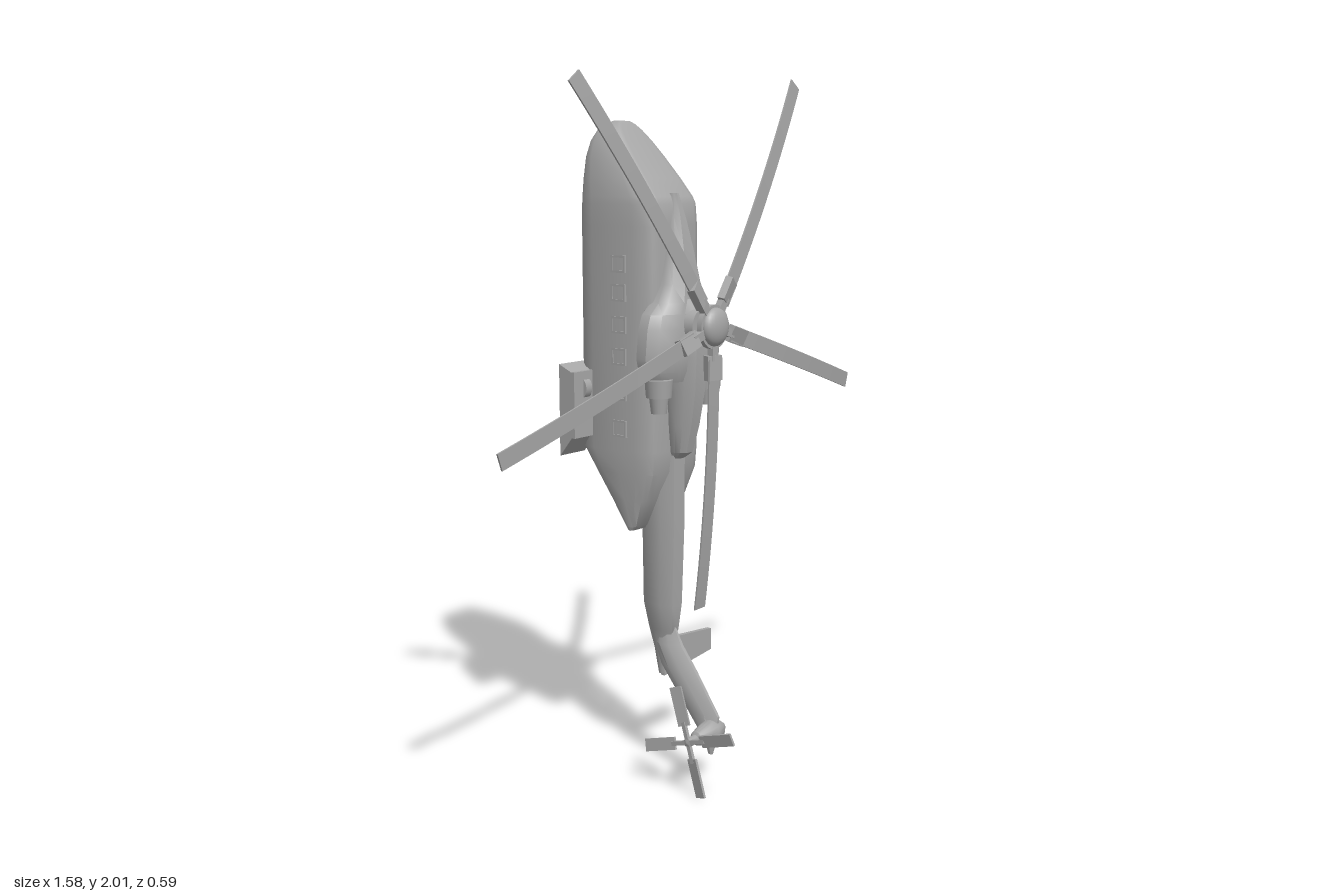
import * as THREE from 'three';
import { toCreasedNormals } from 'three/addons/utils/BufferGeometryUtils.js';

const CX = -0.007; // centre line of the airframe

// Skin closed rings of points, stacked from high y to low y.
function loft(rings, crease = 0.6) {
  const n = rings[0].length, pos = rings.flat(2), idx = [];
  const last = (rings.length - 1) * n;
  for (let i = 0; i < rings.length - 1; i++) {
    for (let j = 0; j < n; j++) {
      const a = i * n + j, b = i * n + (j + 1) % n;
      idx.push(a, b, a + n, b, b + n, a + n);
    }
  }
  for (let j = 1; j < n - 1; j++) {
    idx.push(0, j + 1, j, last, last + j, last + j + 1);
  }
  const g = new THREE.BufferGeometry();
  g.setAttribute('position', new THREE.Float32BufferAttribute(pos, 3));
  g.setIndex(idx);
  return toCreasedNormals(g, crease);
}

// Ring from a half profile [x factor, z factor], scaled to a station.
function ring(half, [y, w, z0, z1, cx = CX]) {
  const right = half.map(([x, t]) => [cx + x * w, y, z0 + t * (z1 - z0)]);
  const left = half.slice().reverse().map(([x, t]) => [cx - x * w, y, z0 + t * (z1 - z0)]);
  return [...right, ...left];
}
const loftStations = (half, stations, crease) => loft(stations.map(s => ring(half, s)), crease);

export function createModel() {
  const model = new THREE.Group();
  model.name = 'helicopter';
  const grey = new THREE.MeshStandardMaterial({ color: 0xa6a6a6 });
  grey.name = 'grey';
  const add = (name, geo, parent = model) => {
    const m = new THREE.Mesh(geo, grey);
    m.name = name;
    parent.add(m);
    return m;
  };

  // Cabin: flat belly, rounded sides, sloping nose and tail ramp
  const body = [[0.72, 0], [0.86, 0.025], [0.95, 0.09], [1, 0.22], [1, 0.5],
    [0.95, 0.76], [0.87, 0.9], [0.76, 0.97], [0.6, 1]];
  add('fuselage', loftStations(body, [
    [1.89, 0.025, -0.24, -0.215], [1.882, 0.045, -0.258, -0.207], [1.865, 0.065, -0.272, -0.192],
    [1.835, 0.085, -0.284, -0.167], [1.79, 0.103, -0.29, -0.13], [1.73, 0.118, -0.29, -0.08],
    [1.68, 0.126, -0.29, -0.04], [1.66, 0.128, -0.29, -0.03], [1.6, 0.13, -0.29, -0.026],
    [0.965, 0.13, -0.29, -0.026], [0.9, 0.127, -0.245, -0.032], [0.82, 0.117, -0.19, -0.065],
    [0.74, 0.106, -0.137, -0.103], [0.728, 0.1, -0.13, -0.115],
  ]));

  // Cabin window frames
  for (const side of [-1, 1]) {
    for (const y of [1.495, 1.415, 1.325, 1.235, 1.135, 1.03]) {
      const s = new THREE.Shape();
      s.moveTo(-0.026, -0.024).lineTo(0.026, -0.024).lineTo(0.026, 0.024).lineTo(-0.026, 0.024).closePath();
      const h = new THREE.Path();
      h.moveTo(-0.02, -0.018).lineTo(-0.02, 0.018).lineTo(0.02, 0.018).lineTo(0.02, -0.018).closePath();
      s.holes.push(h);
      const g = new THREE.ExtrudeGeometry(s, { depth: 0.008, bevelEnabled: false });
      const w = add('windowFrame', g);
      w.rotation.y = side * Math.PI / 2;
      w.position.set(CX + side * 0.124, y, -0.135);
    }
  }

  // Engine cowl on the roof, pointed towards the nose
  const cowl = [[0.75, 0], [1, 0.2], [1, 0.5], [0.85, 0.75], [0.45, 1]];
  add('engineCowl', loftStations(cowl, [
    [1.69, 0.008, -0.06, -0.025], [1.62, 0.028, -0.06, -0.005], [1.53, 0.05, -0.06, 0.015],
    [1.44, 0.075, -0.06, 0.028], [1.39, 0.1, -0.062, 0.034], [1.36, 0.135, -0.065, 0.038],
    [1.32, 0.152, -0.065, 0.043], [1.24, 0.162, -0.065, 0.045], [1.2, 0.155, -0.06, 0.04],
    [1.17, 0.13, -0.05, 0.03],
  ]));
  // Fairing behind the mast
  add('mastFairing', loftStations(cowl, [
    [1.4, 0.04, -0.04, 0.05], [1.36, 0.06, -0.04, 0.06], [1.24, 0.058, -0.04, 0.062],
    [1.14, 0.05, -0.04, 0.055], [1.04, 0.042, -0.04, 0.038], [0.96, 0.032, -0.04, 0.018],
    [0.94, 0.02, -0.04, -0.01],
  ]));
  for (const side of [-1, 1]) {
    const pipe = add('exhaustCollar', new THREE.CylinderGeometry(0.04, 0.036, 0.05, 20));
    pipe.position.set(CX + side * 0.112, 1.155, -0.004);
    const nozzle = add('exhaustNozzle', new THREE.CylinderGeometry(0.028, 0.022, 0.05, 20));
    nozzle.position.set(CX + side * 0.112, 1.11, -0.004);
  }

  // Side sponsons with open wheel wells facing the belly
  for (const side of [-1, 1]) {
    const sponson = new THREE.Group();
    sponson.name = 'sponson';
    sponson.position.x = CX + side * 0.155;
    model.add(sponson);
    const outline = () => {
      const s = new THREE.Shape();
      s.moveTo(-0.052, 0.945).lineTo(0.052, 0.945).lineTo(0.052, 1.21).lineTo(-0.052, 1.21).closePath();
      return s;
    };
    const shell = outline();
    const well = new THREE.Path();
    well.moveTo(-0.036, 1.09).lineTo(-0.036, 1.19).lineTo(0.036, 1.19).lineTo(0.036, 1.09).closePath();
    shell.holes.push(well);
    // Roll the ends towards the belly
    const round = (g) => {
      const p = g.attributes.position;
      for (let i = 0; i < p.count; i++) {
        if (p.getZ(i) > -0.27) {
          if (p.getY(i) > 1.2) p.setY(i, 1.19);
          if (p.getY(i) < 0.95) p.setY(i, 1.0);
        }
      }
      g.computeVertexNormals();
      return g;
    };
    const g1 = new THREE.ExtrudeGeometry(shell, { depth: 0.045, bevelEnabled: false });
    add('sponsonShell', round(g1.translate(0, 0, -0.292)), sponson);
    const top = new THREE.Shape();
    top.moveTo(-0.052, 1.0).lineTo(0.052, 1.0).lineTo(0.052, 1.19).lineTo(-0.052, 1.19).closePath();
    const g2 = new THREE.ExtrudeGeometry(top, { depth: 0.012, bevelEnabled: false });
    add('sponsonTop', g2.translate(0, 0, -0.247), sponson);
    const wheel = add('wheel', new THREE.CylinderGeometry(0.036, 0.036, 0.025, 20), sponson);
    wheel.rotation.z = Math.PI / 2;
    wheel.position.set(0, 1.14, -0.26);
  }

  // Tail boom and folded-up fin
  const boom = [[0.6, 0], [1, 0.25], [1, 0.7], [0.55, 1]];
  add('tailBoom', loftStations(boom, [
    [0.95, 0.046, -0.14, -0.02], [0.73, 0.044, -0.137, -0.021], [0.5, 0.041, -0.135, -0.029],
    [0.42, 0.027, -0.121, -0.036], [0.36, 0.014, -0.108, -0.065], [0.28, 0.006, -0.095, -0.08],
  ]));
  const fin = [[0.25, 0], [1, 0.3], [1, 0.65], [0.25, 1]];
  add('tailFin', loftStations(fin, [
    [0.43, 0.012, -0.1, -0.035, -0.008], [0.38, 0.022, -0.105, -0.005, -0.012],
    [0.32, 0.021, -0.07, 0.055, -0.025], [0.21, 0.018, 0.045, 0.155, -0.048],
    [0.14, 0.015, 0.115, 0.155, -0.06], [0.1, 0.005, 0.13, 0.145, -0.062],
  ]));

  // Stabiliser, on the left side only
  const stab = new THREE.Shape();
  stab.moveTo(-0.005, 0.272).lineTo(0.222, 0.295).lineTo(0.222, 0.362).lineTo(-0.005, 0.385).closePath();
  add('stabiliser', new THREE.ExtrudeGeometry(stab, { depth: 0.014, bevelEnabled: false }).translate(0, 0, -0.092));

  // Tail rotor gearbox and four-bladed rotor
  const profile = [[0, 0], [0.012, 0.002], [0.028, 0.025], [0.036, 0.06], [0.03, 0.09], [0.02, 0.125],
    [0.013, 0.13], [0.013, 0.165], [0, 0.17]].map(([r, h]) => new THREE.Vector2(r, h));
  const gearbox = add('tailGearbox', toCreasedNormals(new THREE.LatheGeometry(profile, 20), 0.6));
  gearbox.rotation.z = Math.PI / 2;
  gearbox.position.set(-0.002, 0.165, 0.135);
  const tailRotor = new THREE.Group();
  tailRotor.name = 'tailRotor';
  tailRotor.position.set(-0.163, 0.165, 0.135);
  model.add(tailRotor);
  for (let i = 0; i < 4; i++) {
    const arm = new THREE.Group();
    arm.name = 'tailBladeArm';
    arm.rotation.x = 0.29 - Math.PI / 2 + i * Math.PI / 2 - 0.58;
    tailRotor.add(arm);
    add('tailBladeRoot', new THREE.BoxGeometry(0.01, 0.06, 0.012).translate(0, 0.03, 0), arm);
    add('tailBlade', new THREE.BoxGeometry(0.007, 0.112, 0.036).rotateY(0.2).translate(0, 0.104, 0), arm);
  }

  // Main rotor: mast, hub and five drooping blades
  const rotor = new THREE.Group();
  rotor.name = 'mainRotor';
  rotor.position.set(-0.009, 1.325, 0);
  model.add(rotor);
  const disc = (name, r1, r2, z0, z1) => add(name,
    new THREE.CylinderGeometry(r1, r2, z1 - z0, 24).rotateX(Math.PI / 2).translate(0, 0, (z0 + z1) / 2), rotor);
  disc('mastBase', 0.05, 0.06, 0.02, 0.068);
  disc('mast', 0.02, 0.02, 0.06, 0.11);
  disc('hubPlate', 0.062, 0.062, 0.092, 0.108);
  add('hubCap', new THREE.SphereGeometry(0.054, 24, 16).scale(1, 1, 0.5).translate(0, 0, 0.108), rotor);
  for (let i = 0; i < 5; i++) {
    const arm = new THREE.Group();
    arm.name = 'bladeArm';
    arm.rotation.z = THREE.MathUtils.degToRad(55 + 72 * i);
    rotor.add(arm);
    add('bladeGrip', new THREE.BoxGeometry(0.05, 0.025, 0.02).translate(0.07, 0, 0.1), arm);
    add('bladeCuff', new THREE.BoxGeometry(0.07, 0.048, 0.022).rotateX(0.3).translate(0.115, 0, 0.1), arm);
    const blade = new THREE.BoxGeometry(0.735, 0.047, 0.005, 16, 1, 1).translate(0.4575, 0, 0);
    const p = blade.attributes.position;
    for (let k = 0; k < p.count; k++) p.setZ(k, p.getZ(k) + 0.104 - 0.06 * (p.getX(k) / 0.825) ** 2);
    blade.computeVertexNormals();
    add('rotorBlade', blade, arm);
  }
  return model;
}
